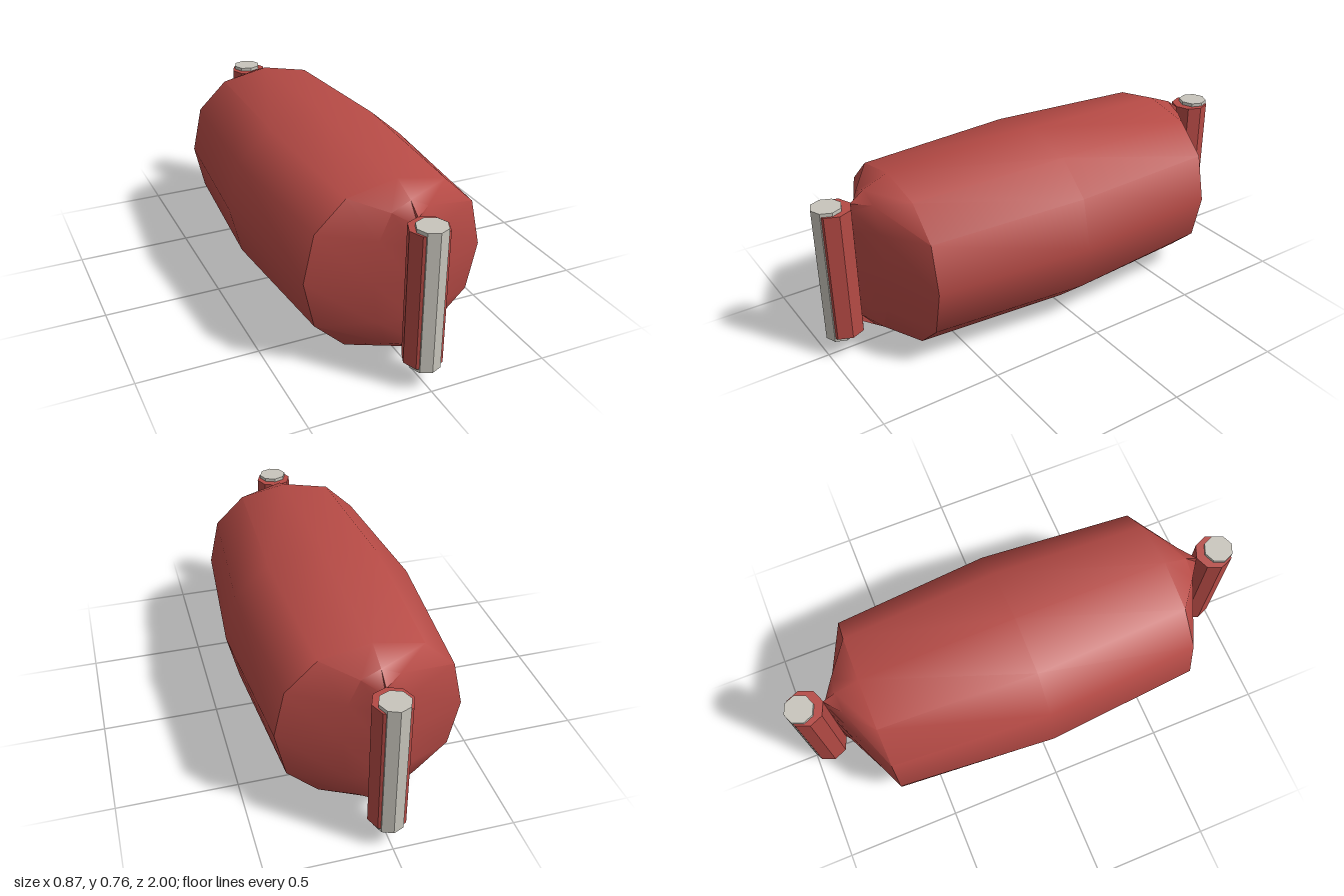
import * as THREE from 'three';
import { toCreasedNormals } from 'three/addons/utils/BufferGeometryUtils.js';

const red = new THREE.MeshStandardMaterial({ color: 0xb54a45 });
red.name = 'red paint';
const grey = new THREE.MeshStandardMaterial({ color: 0xc8c5bc });
grey.name = 'pale grey metal';

const MID_Y = 0.385;

// Twelve-sided cross-section, counter-clockwise seen from the front
const quarter = [[0.433, 0], [0.383, 0.209], [0.237, 0.337], [0, 0.381]];
const section = [
  ...quarter,
  ...quarter.slice(0, 3).reverse().map(([x, y]) => [-x, y]),
  ...quarter.slice(1).map(([x, y]) => [-x, -y]),
  ...quarter.slice(1, 3).reverse().map(([x, y]) => [x, -y]),
];

// Barrel body: sections along z, bulging in the middle and pinched to a vertical edge at both ends
function bodyGeometry() {
  const half = [[0, 1, 1], [0.675, 0.875, 0.95], [0.78, 0.32, 0.84], [0.84, 0, 0.725]]; // z, width, height
  const stations = [...half.slice(1).reverse().map(([z, w, h]) => [-z, w, h]), ...half];
  const n = section.length;
  const positions = [];
  const index = [];
  stations.forEach(([z, w, h], i) => {
    section.forEach(([x, y], j) => {
      positions.push(x * w, MID_Y + y * h, z);
      if (i === 0) return;
      const k = (j + 1) % n;
      const a = (i - 1) * n + j, b = (i - 1) * n + k, c = i * n + k, d = i * n + j;
      index.push(a, b, c, a, c, d);
    });
  });
  const geometry = new THREE.BufferGeometry();
  geometry.setAttribute('position', new THREE.Float32BufferAttribute(positions, 3));
  geometry.setIndex(index);
  return toCreasedNormals(geometry, 0.8);
}

// Upright eight-sided rod with sharp edges
function rod(name, radius, height, z, material) {
  const geometry = toCreasedNormals(new THREE.CylinderGeometry(radius, radius, height, 8), 0.5);
  const mesh = new THREE.Mesh(geometry, material);
  mesh.name = name;
  mesh.position.set(0, MID_Y, z);
  return mesh;
}

export function createModel() {
  const model = new THREE.Group();
  model.name = 'barrelWithEndRods';

  const body = new THREE.Mesh(bodyGeometry(), red);
  body.name = 'body';
  model.add(body);

  // A red sleeve and a pale pin at each end
  for (const [end, s] of [['front', 1], ['back', -1]]) {
    model.add(rod(end + 'Sleeve', 0.08, 0.56, s * 0.917, red));
    model.add(rod(end + 'Pin', 0.0625, 0.59, s * 0.9375, grey));
  }
  return model;
}
